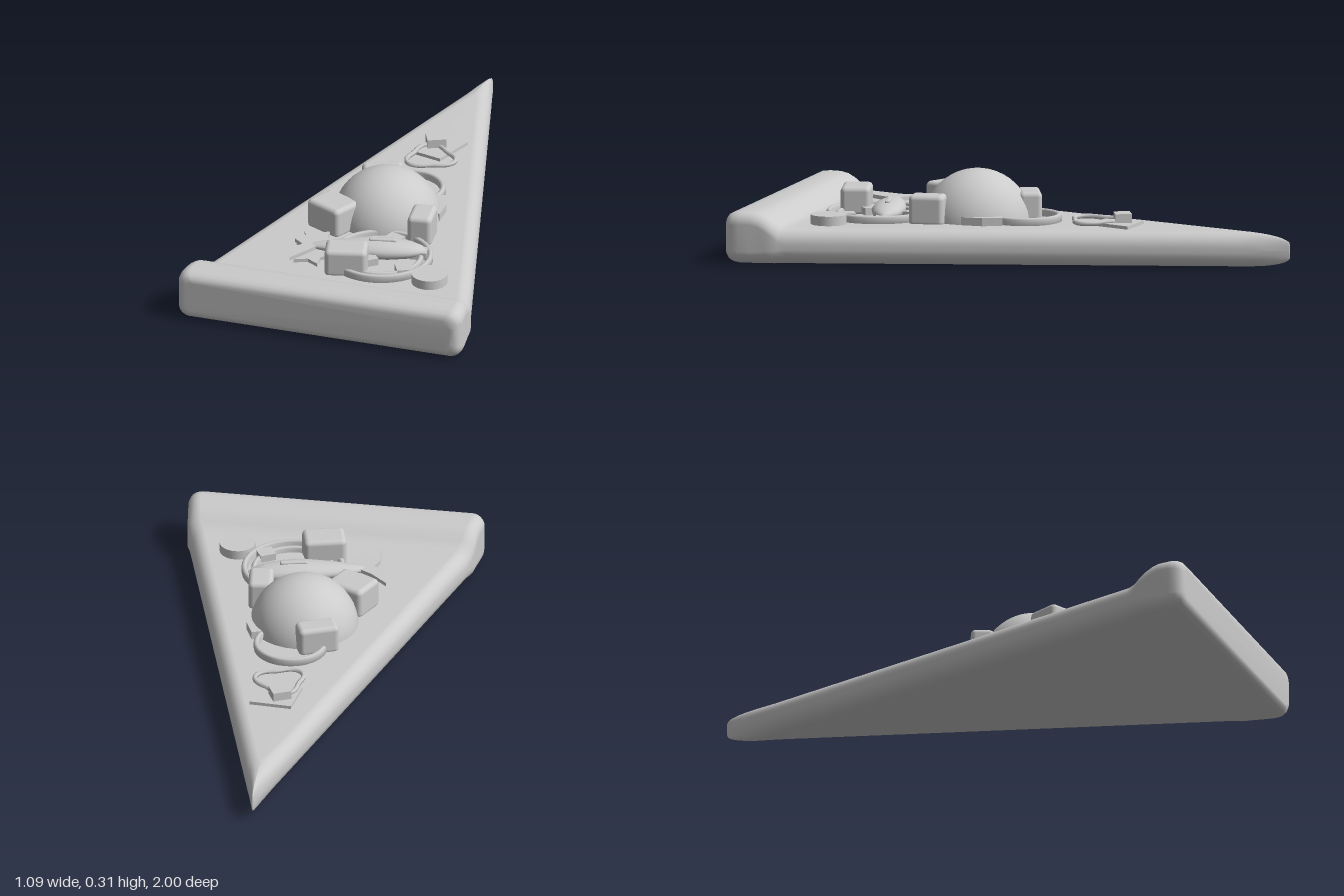
import * as THREE from 'three';
import { RoundedBoxGeometry } from 'three/addons/geometries/RoundedBoxGeometry.js';

const material = new THREE.MeshStandardMaterial({ color: 0xcccccc, side: THREE.DoubleSide });
const TOP = 0.13;

// Rounded rectangle cross-section, counter-clockwise in the xy plane
function section([z, w, y0, y1, r]) {
  const rx = Math.min(r, w), ry = Math.min(r, (y1 - y0) / 2), pts = [];
  const corners = [[w - rx, y1 - ry], [rx - w, y1 - ry], [rx - w, y0 + ry], [w - rx, y0 + ry]];
  corners.forEach(([cx, cy], q) => {
    for (let i = 0; i <= 6; i++) {
      const a = (q + i / 6) * Math.PI / 2;
      pts.push([cx + rx * Math.cos(a), cy + ry * Math.sin(a), z]);
    }
  });
  return pts;
}

// Skin a row of cross-sections and close both ends
function loft(rows) {
  const rings = rows.map(section), n = rings[0].length, index = [];
  const pos = rings.flat(2);
  for (let i = 0; i < rings.length - 1; i++) {
    for (let j = 0; j < n; j++) {
      const k = (j + 1) % n, a = i * n + j, b = i * n + k;
      index.push(a, b, b + n, a, b + n, a + n);
    }
  }
  const last = (rings.length - 1) * n;
  for (let j = 1; j < n - 1; j++) {
    index.push(0, j + 1, j, last, last + j, last + j + 1);
  }
  const g = new THREE.BufferGeometry();
  g.setAttribute('position', new THREE.Float32BufferAttribute(pos, 3));
  g.setIndex(index);
  g.computeVertexNormals();
  return g;
}

function sliceGeometry() {
  const rows = [];
  // Rounded tip
  for (let i = 0; i <= 8; i++) {
    const t = i / 8, z = -1 + 0.2 * t * t;
    const h = 0.025 + 0.04 * Math.sqrt(1 - (1 - t * t) ** 2);
    rows.push([z, 0.003 + 0.288 * (z + 1), 0.065 - h, 0.065 + h, 0.055]);
  }
  // Flat wedge
  for (let i = 1; i <= 10; i++) {
    const z = -0.8 + 0.157 * i;
    rows.push([z, 0.003 + 0.288 * (z + 1), 0, TOP, 0.055]);
  }
  // Raised crust with rounded outer edge
  rows.push([0.8, 0.523, 0, 0.139, 0.055], [0.82, 0.53, 0, 0.153, 0.05],
    [0.845, 0.534, 0, 0.171, 0.05], [0.87, 0.536, 0, 0.184, 0.048], [0.9, 0.54, 0, 0.19, 0.045],
    [0.945, 0.546, 0, 0.19, 0.045], [0.97, 0.545, 0.003, 0.187, 0.045],
    [0.987, 0.538, 0.011, 0.179, 0.04], [0.997, 0.526, 0.022, 0.168, 0.035],
    [1, 0.51, 0.036, 0.154, 0.03]);
  return loft(rows);
}

// Outline of [x, z] points as a thin upright slab
function slab(points, height) {
  const shape = new THREE.Shape(points.map(([x, z]) => new THREE.Vector2(x, -z)));
  const g = new THREE.ExtrudeGeometry(shape, { depth: height, bevelEnabled: false });
  return g.rotateX(-Math.PI / 2);
}

export function createModel() {
  const group = new THREE.Group();
  const add = (name, geometry, x = 0, y = 0, z = 0, turn = 0, parent = group) => {
    const mesh = new THREE.Mesh(geometry, material);
    mesh.name = name;
    mesh.position.set(x, y, z);
    mesh.rotation.y = turn;
    parent.add(mesh);
    return mesh;
  };

  add('pizzaSlice', sliceGeometry());

  // Domed topping, partly sunk into the cheese
  add('dome', new THREE.SphereGeometry(0.2, 32, 12, 0, Math.PI * 2, 0, Math.PI / 2), 0, 0.11, 0.205);

  // Chunks: x, z, width, depth, top, turn
  [[-0.155, 0.355, 0.155, 0.13, 0.235, -0.45], [0.18, 0.335, 0.09, 0.13, 0.235, 0.12],
    [-0.075, 0.03, 0.15, 0.085, 0.23, 0.4], [0, 0.67, 0.155, 0.11, 0.228, 0.25]]
    .forEach(([x, z, w, d, top, turn]) => {
      const h = top - 0.12;
      add('chunk', new RoundedBoxGeometry(w, h, d, 3, 0.018), x, 0.12 + h / 2, z, turn);
    });

  // Onion rings
  const ring = (x, z, r, y) => {
    const profile = [[r - 0.02, y - 0.02], [r, y - 0.02], [r, y + 0.012], [r - 0.006, y + 0.018],
      [r - 0.014, y + 0.018], [r - 0.02, y + 0.012], [r - 0.02, y - 0.02]];
    add('onionRing', new THREE.LatheGeometry(profile.map(p => new THREE.Vector2(...p)), 48), x, 0, z);
  };
  ring(0.095, 0.555, 0.19, 0.14);
  ring(0.095, 0.555, 0.155, 0.133);
  ring(0.02, 0.015, 0.135, 0.14);

  // Lobed pepper ring
  const lobes = [];
  for (let i = 0; i < 36; i++) {
    const a = i / 36 * Math.PI * 2, r = 0.083 + 0.014 * Math.cos(3 * a - 0.5);
    lobes.push(new THREE.Vector3(r * Math.cos(a), 0, r * Math.sin(a)));
  }
  add('pepperRing', new THREE.TubeGeometry(new THREE.CatmullRomCurve3(lobes, true), 72, 0.009, 6, true),
    0.015, 0.145, -0.25);

  // Small fish: body, forked tail and back fin
  const fish = new THREE.Group();
  fish.name = 'fish';
  fish.position.set(0.03, 0.155, 0.53);
  fish.rotation.y = 0.22;
  group.add(fish);
  const body = [[0, -0.215], [0.018, -0.19], [0.04, -0.1], [0.056, 0], [0.058, 0.08], [0.046, 0.16],
    [0.025, 0.205], [0, 0.22]].map(p => new THREE.Vector2(...p));
  add('fishBody', new THREE.LatheGeometry(body, 20).rotateZ(-Math.PI / 2).scale(1, 0.6, 1.05), 0, 0, 0, 0, fish);
  add('fishTail', slab([[-0.18, -0.015], [-0.22, -0.05], [-0.27, -0.12], [-0.265, -0.03], [-0.235, 0.005],
    [-0.26, 0.04], [-0.27, 0.12], [-0.215, 0.06], [-0.18, 0.015]], 0.014), 0, -0.007, 0, 0, fish);
  add('fishFin', new RoundedBoxGeometry(0.1, 0.014, 0.018, 2, 0.006), 0.06, 0.034, 0, 0, fish);

  // Round slice
  add('roundSlice', new THREE.CylinderGeometry(0.066, 0.066, 0.035, 32), 0.32, 0.148, 0.67);

  // Flat leaves and scraps lying on the cheese
  add('flatScrap', slab([[-0.05, -0.42], [0.105, -0.41], [0.05, -0.25], [-0.07, -0.28]], 0.012), 0, TOP, 0);
  add('smallCube', new THREE.BoxGeometry(0.07, 0.045, 0.06), 0, 0.152, -0.355, 0.45);
  add('wedgeScrap', slab([[0.12, 0.07], [0.17, 0.05], [0.2, 0.12], [0.2, 0.2], [0.14, 0.2]], 0.03), 0, TOP, 0);
  [[-0.17, 0.5], [-0.15, 0.62]].forEach(([x, z], i) => {
    const star = [];
    for (let k = 0; k < 10; k++) {
      const a = k * Math.PI / 5 + i, r = k % 2 ? 0.04 : 0.08;
      star.push([r * Math.cos(a), r * Math.sin(a)]);
    }
    add('leaf', slab(star, 0.013), x, TOP, z);
  });
  [[0.21, 0.635, 0.5], [0.1, 0.42, -0.3], [0.22, 0.49, 0.2], [0.06, 0.6, 0.7]]
    .forEach(([x, z, turn]) => add('scrap', new THREE.BoxGeometry(0.06, 0.03, 0.055), x, 0.142, z, turn));

  return group;
}
